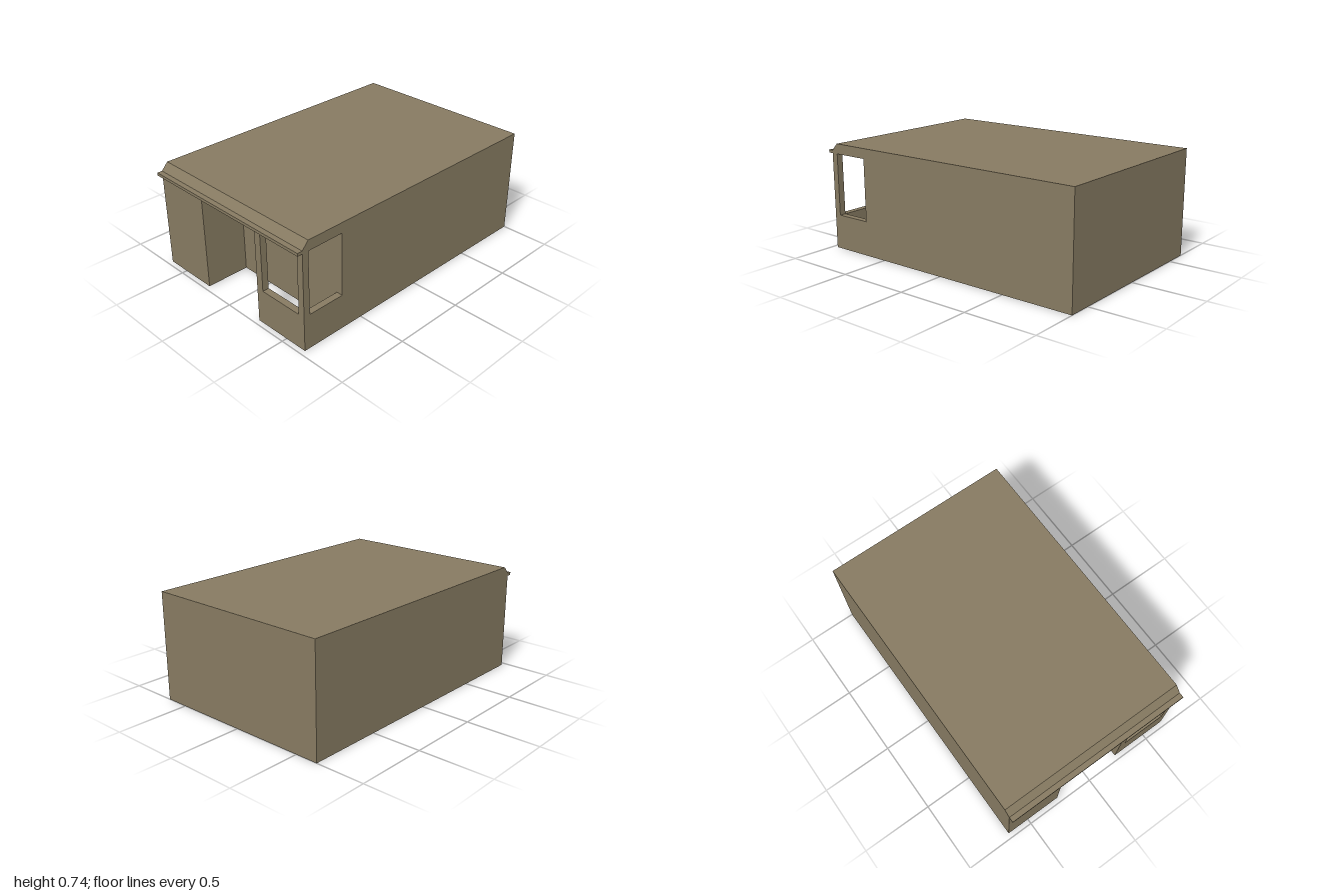
import * as THREE from 'three';

export function createModel() {
  const group = new THREE.Group();
  const stone = new THREE.MeshStandardMaterial({ color: 0x867a61, side: THREE.DoubleSide });
  stone.name = 'stone';

  const W = 0.66, BACK = -1, FRONT = 0.965, TOP = 0.74;
  const RECESS = 0.66, DOOR = 0.25, HEAD = 0.67, SILL = 0.24, T = 0.045;

  const add = (name, geometry) => {
    const mesh = new THREE.Mesh(geometry, stone);
    mesh.name = name;
    group.add(mesh);
    return mesh;
  };
  // Box from its lower and upper limits on each axis
  const box = (name, x0, x1, y0, y1, z0, z1) =>
    add(name, new THREE.BoxGeometry(x1 - x0, y1 - y0, z1 - z0))
      .position.set((x0 + x1) / 2, (y0 + y1) / 2, (z0 + z1) / 2);
  // Upright sheet across x, facing front (or back)
  const sheetX = (name, x0, x1, y0, y1, z, back = false) => {
    const g = new THREE.PlaneGeometry(x1 - x0, y1 - y0);
    if (back) g.rotateY(Math.PI);
    add(name, g).position.set((x0 + x1) / 2, (y0 + y1) / 2, z);
  };
  // Level sheet, facing up or down
  const sheetY = (name, x0, x1, z0, z1, y, down = false) => {
    const g = new THREE.PlaneGeometry(x1 - x0, z1 - z0).rotateX(down ? Math.PI / 2 : -Math.PI / 2);
    add(name, g).position.set((x0 + x1) / 2, y, (z0 + z1) / 2);
  };
  // Side sheet from [z, y] points, facing +x (side = 1) or -x (side = -1)
  const sheetZ = (name, points, x, side) => {
    const shape = new THREE.Shape(points.map(([z, y]) => new THREE.Vector2(-side * z, y)));
    add(name, new THREE.ShapeGeometry(shape).rotateY(side * Math.PI / 2)).position.x = x;
  };

  // Hollow shell, open below
  const eaves = [[FRONT, 0.69], [0.92, TOP], [BACK, TOP], [BACK, 0]];
  sheetZ('rightWall', [[FRONT, 0], ...eaves], -W, -1);
  sheetZ('leftWall', [[RECESS, 0], [RECESS, HEAD], [FRONT, HEAD], ...eaves], W, 1);
  sheetX('backWall', -W, W, 0, TOP, BACK, true);
  sheetY('roof', -W, W, BACK, 0.92, TOP);

  // Sloped roof edge above a thin ledge
  const rise = TOP - 0.69, run = FRONT - 0.92;
  const slope = new THREE.PlaneGeometry(2 * W, Math.hypot(rise, run)).rotateX(-Math.atan2(run, rise));
  add('roofSlope', slope).position.set(0, 0.69 + rise / 2, 0.92 + run / 2);
  box('ledge', -W, W, HEAD, 0.69, FRONT, 1);
  sheetY('porchCeiling', -W, W, RECESS, FRONT, HEAD, true);

  // Front panel and the recessed entrance
  sheetX('frontPanel', -W, -DOOR, 0, HEAD, FRONT);
  sheetZ('entranceCheek', [[RECESS, 0], [FRONT, 0], [FRONT, HEAD], [RECESS, HEAD]], -DOOR, 1);
  sheetX('entranceWall', -DOOR, W, 0, HEAD, RECESS);

  // Low walls and posts of the open corner bay
  box('bayFrontWall', DOOR, W, 0, SILL, FRONT - T, FRONT);
  box('baySideWall', W - T, W, 0, SILL, RECESS, FRONT - T);
  box('cornerPost', W - T, W, SILL, HEAD, FRONT - T, FRONT);
  box('entrancePost', DOOR, DOOR + 0.05, SILL, HEAD, FRONT - T, FRONT);

  return group;
}
